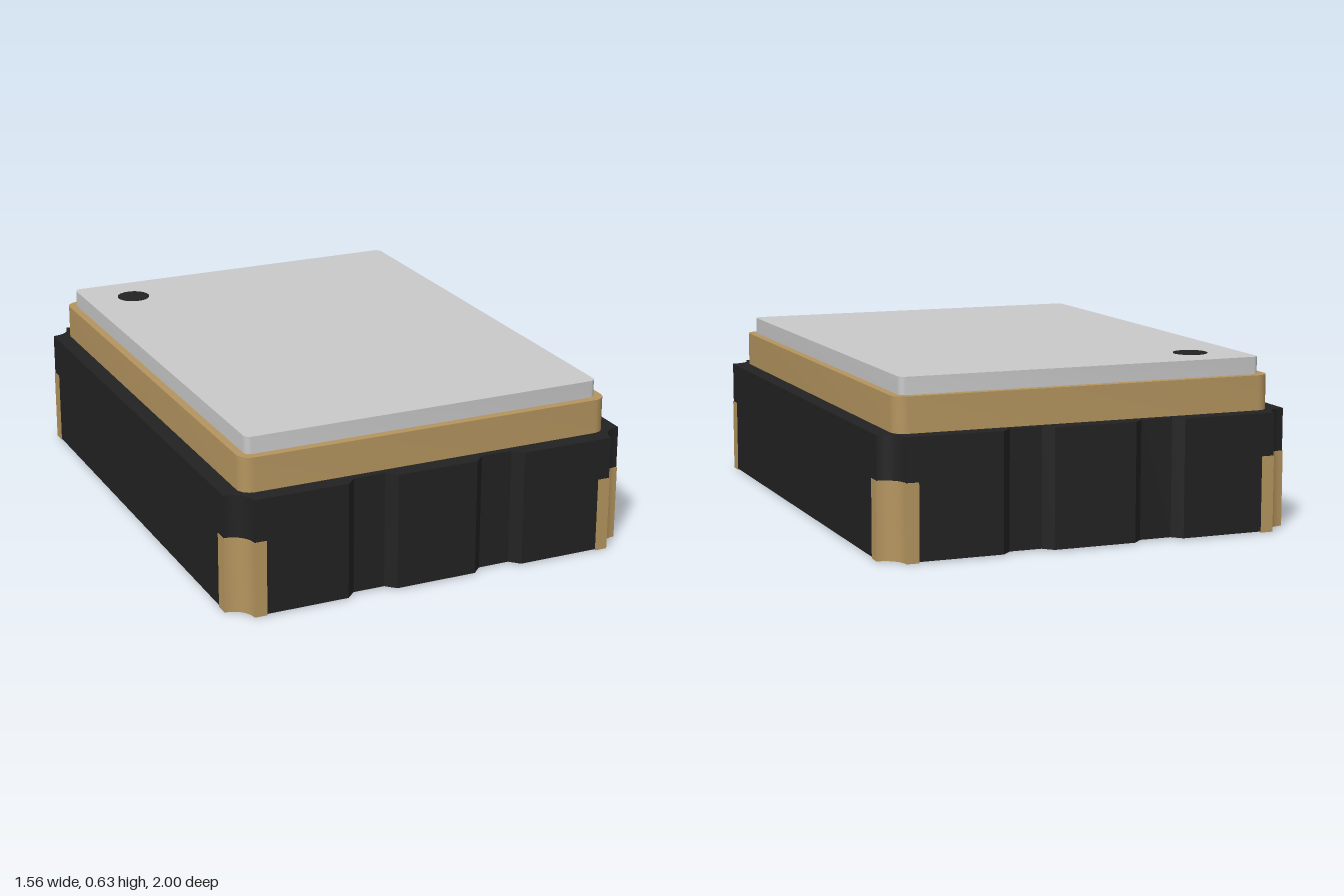
import * as THREE from 'three';
import { toCreasedNormals } from 'three/addons/utils/BufferGeometryUtils.js';

const HX = 0.78, HZ = 1, R = 0.08;

const mat = (name, color) => {
  const m = new THREE.MeshStandardMaterial({ color });
  m.name = name;
  return m;
};

// Extrude a plan outline of [x, z] points between two heights
function slab(name, points, y0, y1, material) {
  const shape = new THREE.Shape(points.map(([x, z]) => new THREE.Vector2(x, z)));
  const geo = new THREE.ExtrudeGeometry(shape, { depth: y1 - y0, bevelEnabled: false });
  geo.rotateX(Math.PI / 2);
  geo.translate(0, y1, 0);
  const mesh = new THREE.Mesh(toCreasedNormals(geo, 0.5), material);
  mesh.name = name;
  return mesh;
}

// Arc in plan
function arc(cx, cz, r, a0, a1, n = 8) {
  return Array.from({ length: n + 1 }, (_, i) => {
    const a = a0 + ((a1 - a0) * i) / n;
    return [cx + r * Math.cos(a), cz + r * Math.sin(a)];
  });
}

const flip = (pts, sx, sz) => pts.map(([x, z]) => [x * sx, z * sz]);

// Repeat one quadrant (running from the z edge to the x edge) all the way round
const fourWay = (q) => [
  ...q,
  ...flip(q, 1, -1).reverse(),
  ...flip(q, -1, -1),
  ...flip(q, -1, 1).reverse(),
];

const roundedRect = (hx, hz, r) =>
  fourWay(arc(hx - r, hz - r, r, Math.PI / 2, 0));

export function createModel() {
  const group = new THREE.Group();
  group.name = 'crystalPackage';
  const black = mat('black ceramic', 0x222222);
  const gold = mat('gold', 0xb5955f);
  const silver = mat('silver lid', 0xc9c9c9);

  // Ceramic body with notched ends and scooped corners
  const quadrant = [
    [0.155, HZ], [0.19, 0.965], [0.31, 0.965], [0.345, HZ],
    ...arc(HX, HZ, R, Math.PI, Math.PI * 1.5),
  ];
  group.add(slab('body', fourWay(quadrant), 0.004, 0.437, black));

  // Seal ring and lid
  group.add(slab('sealRing', roundedRect(0.718, 0.936, 0.05), 0.437, 0.565, gold));
  group.add(slab('lid', roundedRect(0.688, 0.904, 0.025), 0.565, 0.628, silver));

  // Orientation dot
  const dot = new THREE.Mesh(new THREE.CylinderGeometry(0.063, 0.063, 0.004, 40), black);
  dot.name = 'orientationDot';
  dot.position.set(-0.5, 0.628, -0.722);
  group.add(dot);

  // Thin plating wrapped round each corner
  const wrap = (e) => [
    [0.655, HZ + e],
    ...arc(HX + e, HZ + e, R, Math.PI, Math.PI * 1.5),
    [HX + e, 0.87],
  ];
  const plating = [...wrap(0.002), ...wrap(-0.004).reverse()];

  // Solder pads underneath; the one below the dot has a cut inner corner
  const padOuter = [
    [0.345, 0.94], [0.39, 0.98],
    ...arc(HX, HZ, 0.1, Math.PI * 1.06, Math.PI * 1.44),
    [0.76, 0.4],
  ];
  for (const sx of [1, -1]) {
    for (const sz of [1, -1]) {
      group.add(slab('cornerPlating', flip(plating, sx, sz), 0, 0.28, gold));
      const marked = sx < 0 && sz < 0;
      const inner = marked ? [[0.55, 0.4], [0.345, 0.62]] : [[0.345, 0.4]];
      group.add(slab('solderPad', flip([...padOuter, ...inner], sx, sz), 0, 0.006, gold));
    }
  }
  return group;
}
